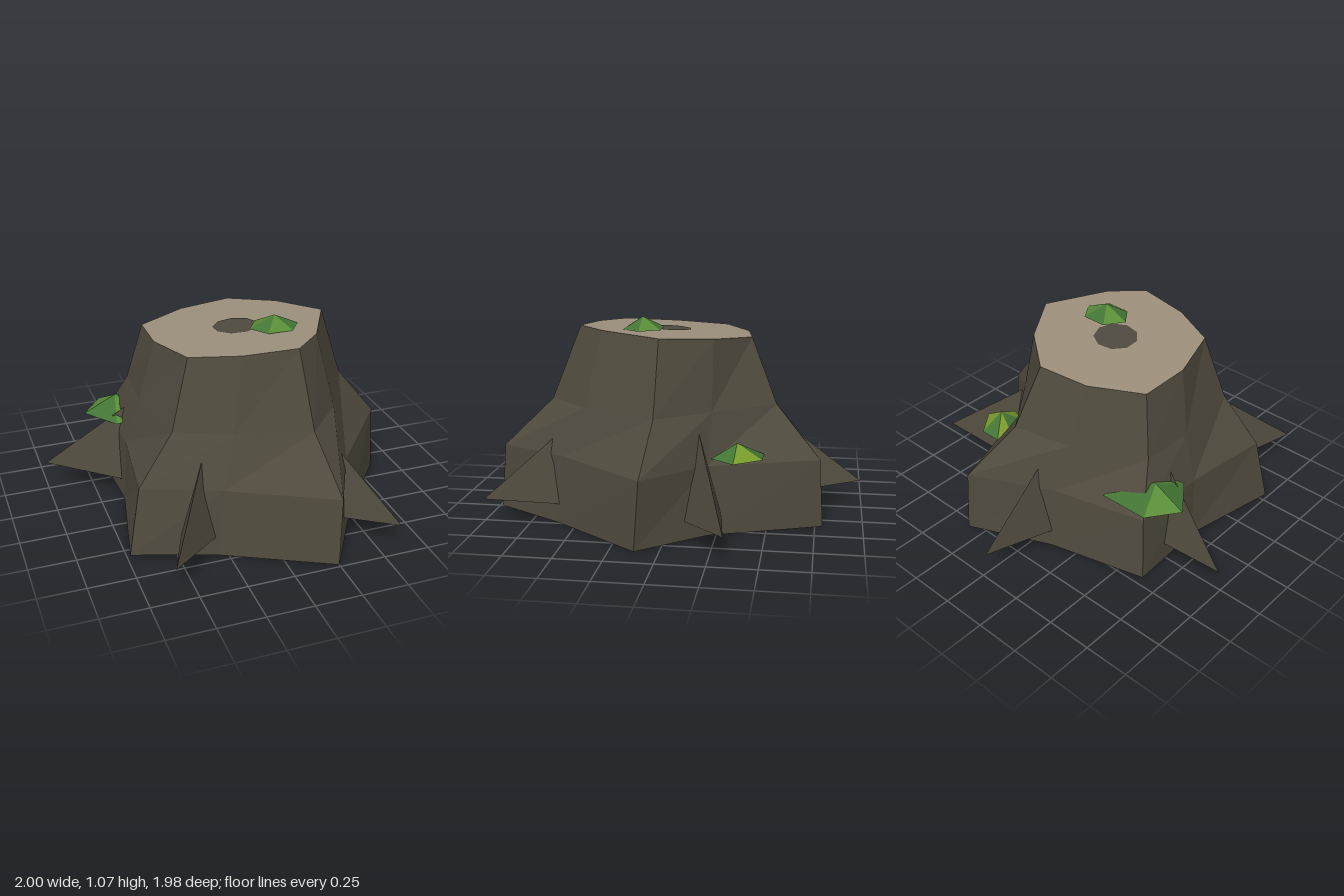
import * as THREE from 'three';

const bark = new THREE.MeshStandardMaterial({ color: 0x4f4a3d, side: THREE.DoubleSide });
const cutWood = new THREE.MeshStandardMaterial({ color: 0x9d907c });
const heartwood = new THREE.MeshStandardMaterial({ color: 0x4f4a3f });
const moss = new THREE.MeshStandardMaterial({ color: 0x5a8c38 });
const darkMoss = new THREE.MeshStandardMaterial({ color: 0x437535 });
const limeMoss = new THREE.MeshStandardMaterial({ color: 0x7a9c2c });
bark.name = 'bark';
cutWood.name = 'cutWood';
heartwood.name = 'heartwood';
moss.name = 'moss';
darkMoss.name = 'darkMoss';
limeMoss.name = 'limeMoss';

// Faceted mesh from a list of [x, y, z] corners, three per face
function facets(name, corners, material) {
  const geometry = new THREE.BufferGeometry();
  geometry.setAttribute('position', new THREE.Float32BufferAttribute(corners.flat(), 3));
  geometry.computeVertexNormals();
  const mesh = new THREE.Mesh(geometry, material);
  mesh.name = name;
  return mesh;
}

// Fan from a centre to a ring that runs clockwise seen from above
function fan(centre, ring) {
  return ring.flatMap((p, i) => [centre, ring[(i + 1) % ring.length], p]);
}

// Height of the slightly tilted saw cut
const cutY = (x, z) => 0.981 + 0.045 * x + 0.055 * z;

// Trunk cross-sections as [x, z], alternating root corner and valley
const sections = [
  [0, [[0.35, -0.79], [0.57, -0.21], [0.855, 0.125], [0.48, 0.61], [0.25, 0.985],
    [-0.3, 0.7], [-0.73, 0.55], [-0.62, 0], [-0.64, -0.45], [-0.1, -0.59]]],
  [0.36, [[0.34, -0.77], [0.54, -0.2], [0.85, 0.1], [0.46, 0.58], [0.27, 0.95],
    [-0.26, 0.67], [-0.66, 0.51], [-0.6, 0.01], [-0.61, -0.42], [-0.11, -0.55]]],
  [0.62, [[0.2, -0.53], [0.45, -0.21], [0.645, 0.06], [0.43, 0.46], [0.22, 0.685],
    [-0.17, 0.58], [-0.46, 0.45], [-0.52, 0.03], [-0.51, -0.27], [-0.13, -0.46]]],
  [null, [[0.13, -0.39], [0.36, -0.21], [0.525, 0.05], [0.35, 0.38], [0.19, 0.53],
    [-0.1, 0.49], [-0.35, 0.38], [-0.44, 0.08], [-0.43, -0.2], [-0.16, -0.35]]],
];

// Root spike with a hollowed underside, its open end deep inside the trunk
function rootSpike(x, z) {
  const tip = new THREE.Vector3(x, 0.15, z);
  const inward = new THREE.Vector3(0.02 - x, 0, 0.03 - z).normalize();
  const side = new THREE.Vector3(-inward.z, 0, inward.x);
  const point = (depth, rise, across) => tip.clone()
    .addScaledVector(inward, depth).addScaledVector(side, across)
    .add(new THREE.Vector3(0, rise, 0)).toArray();
  const top = point(0.85, 0.64, 0);
  const a = point(0.85, -0.11, 0.205);
  const b = point(0.85, -0.11, -0.205);
  const hollow = point(0.85, 0.17, 0);
  const t = tip.toArray();
  return facets('rootSpike', [t, top, a, t, b, top, t, a, hollow, t, hollow, b], bark);
}

// Low six-sided moss mound, faces alternating between two greens, closed below
function mossMound(name, centre, rim, oddMaterial) {
  const group = new THREE.Group();
  group.name = name;
  const faces = fan(centre, rim);
  const pick = (parity) => faces.filter((_, i) => Math.floor(i / 3) % 2 === parity);
  const under = fan([centre[0], rim[0][1], centre[2]], [...rim].reverse());
  group.add(
    facets('darkFaces', pick(0), darkMoss),
    facets('brightFaces', pick(1), oddMaterial),
    facets('underside', under, darkMoss),
  );
  return group;
}

export function createModel() {
  const model = new THREE.Group();
  model.name = 'treeStump';

  // Trunk wall, open underneath
  const rings = sections.map(([y, ring]) => ring.map(([x, z]) => [x, y ?? cutY(x, z), z]));
  const wall = [];
  for (let r = 0; r < rings.length - 1; r++) {
    for (let i = 0; i < 10; i++) {
      const j = (i + 1) % 10;
      const [low, high] = [rings[r], rings[r + 1]];
      wall.push(low[j], low[i], high[i], low[j], high[i], high[j]);
    }
  }
  model.add(facets('trunk', wall, bark));

  // Sawn top with a dark heart
  model.add(facets('cutTop', fan([0.04, cutY(0.04, 0.07), 0.07], rings[3]), cutWood));
  const heart = Array.from({ length: 9 }, (_, i) => {
    const a = (i / 9) * Math.PI * 2;
    const x = 0.015 + 0.122 * Math.cos(a);
    const z = 0.07 + 0.12 * Math.sin(a);
    return [x, cutY(x, z) + 0.004, z];
  });
  model.add(facets('heart', fan([0.015, cutY(0.015, 0.07) + 0.004, 0.07], heart), heartwood));

  // Five spikes between the root corners
  for (const [x, z] of [[-1, -0.28], [1, -0.33], [-0.6, 0.95], [0.6, 0.97], [-0.02, -0.99]]) {
    model.add(rootSpike(x, z));
  }

  // Moss on the cut and on both flanks
  model.add(mossMound('topMoss', [0.19, 1.073, 0.19],
    [[0.12, 1.01, 0.085], [0.26, 1.01, 0.085], [0.325, 1.01, 0.19], [0.26, 1.01, 0.285],
      [0.12, 1.01, 0.285], [0.05, 1.01, 0.19]], moss));
  model.add(mossMound('leftMoss', [0.51, 0.48, -0.35],
    [[0.41, 0.4, -0.48], [0.53, 0.4, -0.48], [0.635, 0.4, -0.34], [0.54, 0.4, -0.22],
      [0.44, 0.4, -0.25], [0.39, 0.4, -0.39]], limeMoss));
  model.add(mossMound('rightMoss', [-0.58, 0.51, -0.29],
    [[-0.64, 0.42, -0.455], [-0.37, 0.42, -0.46], [-0.35, 0.42, -0.3], [-0.45, 0.42, -0.13],
      [-0.62, 0.42, -0.1], [-0.76, 0.42, -0.29]], moss));
  return model;
}
